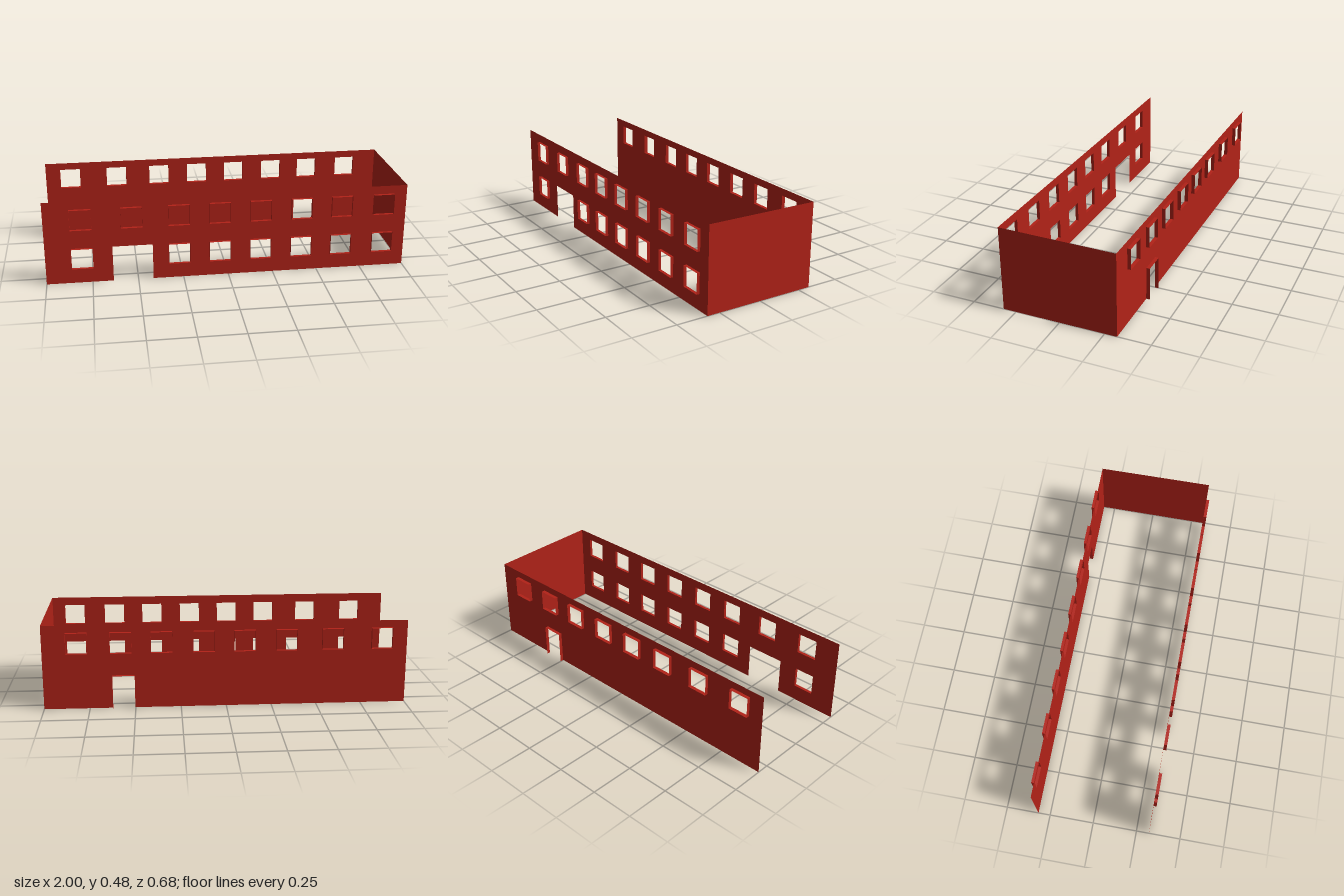
import * as THREE from 'three';
import { mergeGeometries } from 'three/addons/utils/BufferGeometryUtils.js';

const red = new THREE.MeshStandardMaterial({ color: 0xb22218, side: THREE.DoubleSide });
const WIN = 0.116, UPPER = [0.315, 0.431], LOWER = [0.089, 0.204];

// Thin wall with a door notch in its lower edge and rectangular window holes
function wall(name, z, height, door, windows) {
  const shape = new THREE.Shape([
    [-1, 0], [door.x0, 0], [door.x0, door.y1], [door.x1, door.y1], [door.x1, 0],
    [1, 0], [1, height], [-1, height],
  ].map(([x, y]) => new THREE.Vector2(x, y)));
  for (const { x0, x1, y0, y1 } of windows) {
    shape.holes.push(new THREE.Path([
      new THREE.Vector2(x0, y0), new THREE.Vector2(x0, y1),
      new THREE.Vector2(x1, y1), new THREE.Vector2(x1, y0),
    ]));
  }
  const mesh = new THREE.Mesh(new THREE.ShapeGeometry(shape), red);
  mesh.position.z = z;
  mesh.name = name;
  return mesh;
}

// Thin lining around an opening, standing out from the wall between zIn and zOut
function lining(name, { x0, x1, y0, y1 }, zIn, zOut, sill = true) {
  const depth = Math.abs(zOut - zIn), z = (zIn + zOut) / 2;
  const cx = (x0 + x1) / 2, cy = (y0 + y1) / 2;
  const upright = (x, turn) =>
    new THREE.PlaneGeometry(depth, y1 - y0).rotateY(turn).translate(x, cy, z);
  const level = (y, turn) =>
    new THREE.PlaneGeometry(x1 - x0, depth).rotateX(turn).translate(cx, y, z);
  const sides = [upright(x0, Math.PI / 2), upright(x1, -Math.PI / 2), level(y1, Math.PI / 2)];
  if (sill) sides.push(level(y0, -Math.PI / 2));
  const mesh = new THREE.Mesh(mergeGeometries(sides), red);
  mesh.name = name;
  return mesh;
}

const row = (centres, [y0, y1]) =>
  centres.map((c) => ({ x0: c - WIN / 2, x1: c + WIN / 2, y0, y1 }));

export function createModel() {
  const model = new THREE.Group();
  model.name = 'buildingShell';

  // Front wall: two rows of windows and a wide entrance
  const frontX = [-0.801, -0.528, -0.271, -0.046, 0.179, 0.407, 0.633, 0.87];
  const frontZ = 0.322;
  const frontWindows = [
    ...row(frontX, UPPER),
    ...row(frontX.filter((_, i) => i !== 1), LOWER),
  ];
  model.add(wall('frontWall', frontZ, 0.478, { x0: -0.636, x1: -0.417, y1: 0.204 }, frontWindows));
  for (const w of frontWindows) model.add(lining('frontWindowLining', w, frontZ, 0.339));

  // Back wall: one row of windows and a narrow door
  const backX = [-0.858, -0.585, -0.33, -0.102, 0.122, 0.352, 0.574, 0.812];
  const backZ = -0.318;
  const backWindows = row(backX, UPPER);
  const backDoor = { x0: 0.502, x1: 0.624, y0: 0, y1: 0.187 };
  model.add(wall('backWall', backZ, 0.471, backDoor, backWindows));
  for (const w of backWindows) model.add(lining('backWindowLining', w, backZ, -0.338));
  model.add(lining('backDoorLining', backDoor, backZ, -0.338, false));

  // End wall on the left, its top falling slightly towards the back
  const end = new THREE.Shape([
    new THREE.Vector2(-frontZ, 0), new THREE.Vector2(-backZ, 0),
    new THREE.Vector2(-backZ, 0.471), new THREE.Vector2(-frontZ, 0.478),
  ]);
  const endWall = new THREE.Mesh(new THREE.ShapeGeometry(end).rotateY(Math.PI / 2), red);
  endWall.position.x = 1;
  endWall.name = 'leftEndWall';
  model.add(endWall);

  return model;
}
